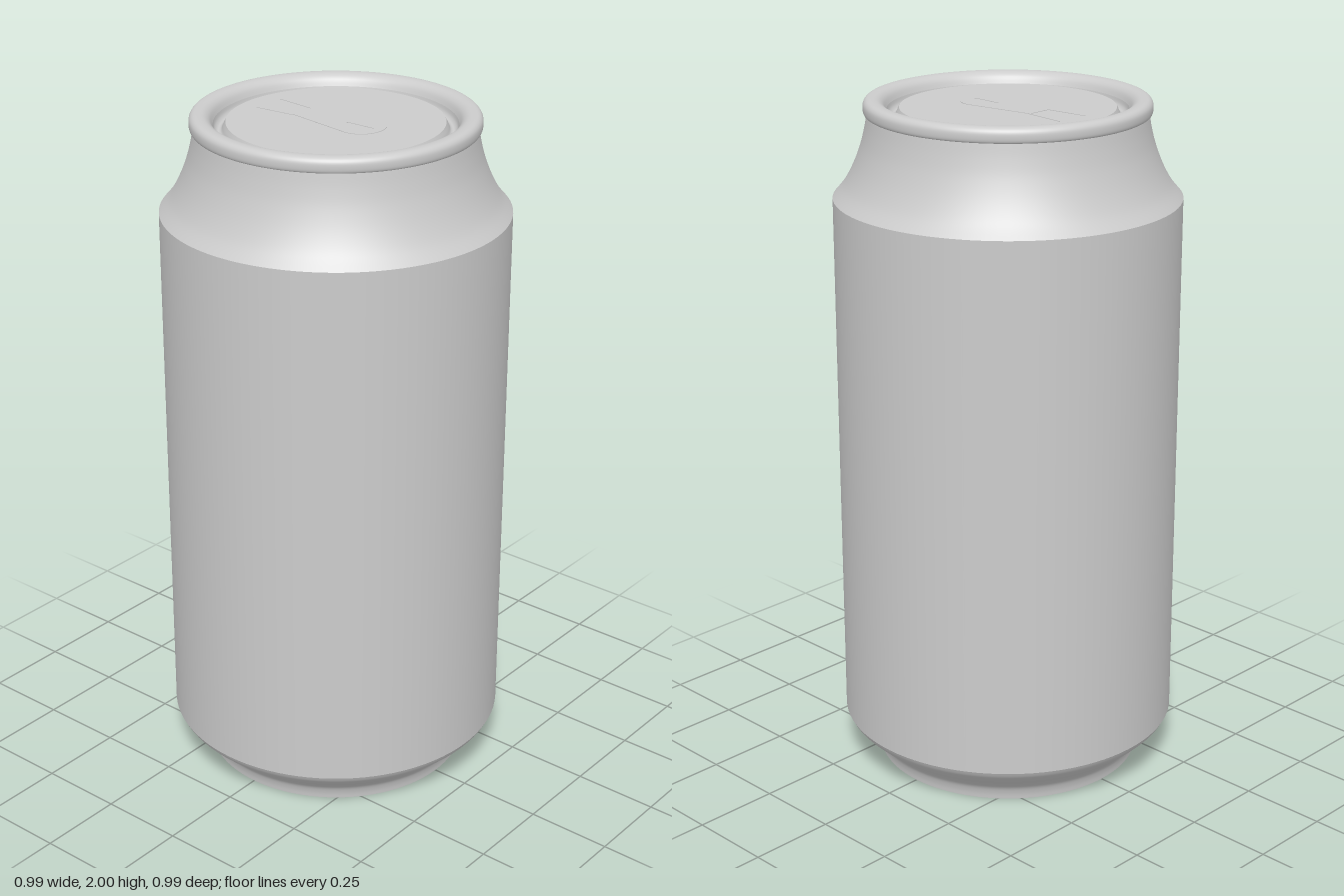
import * as THREE from 'three';

const material = new THREE.MeshStandardMaterial({ color: 0xcccccc, side: THREE.DoubleSide });
const PANEL_Y = 1.974;

// Turns a profile [radius, height] around the y axis; smooth profiles go through a spline
function turned(name, profile, smooth = 0) {
  let points = profile.map(([r, y]) => new THREE.Vector2(r, y));
  if (smooth) points = new THREE.SplineCurve(points).getPoints(smooth);
  const mesh = new THREE.Mesh(new THREE.LatheGeometry(points, 96), material);
  mesh.name = name;
  return mesh;
}

// Flat plate lying on the lid panel, drawn in x and z
function plate(name, shape, height) {
  const geometry = new THREE.ExtrudeGeometry(shape, { depth: height, bevelEnabled: false, curveSegments: 20 });
  geometry.rotateX(-Math.PI / 2);
  const mesh = new THREE.Mesh(geometry, material);
  mesh.name = name;
  mesh.position.y = PANEL_Y;
  return mesh;
}

export function createModel() {
  const can = new THREE.Group();
  can.name = 'drinkCan';

  // Open base, straight wall and tapered neck
  can.add(turned('base', [
    [0.39, 0], [0.393, 0.02], [0.402, 0.043], [0.425, 0.067], [0.455, 0.093], [0.483, 0.12], [0.495, 0.14],
  ], 24));
  can.add(turned('body', [[0.495, 0.14], [0.495, 1.72]]));
  can.add(turned('neck', [
    [0.495, 1.72], [0.464, 1.758], [0.437, 1.808], [0.415, 1.865], [0.402, 1.915], [0.394, 1.96],
  ], 24));

  // Rolled rim, running down into the lid's groove
  can.add(turned('rim', [
    [0.392, 1.957], [0.401, 1.958], [0.405, 1.968], [0.404, 1.986], [0.395, 1.997], [0.38, 2],
    [0.362, 1.997], [0.348, 1.986], [0.339, 1.968],
  ], 32));
  can.add(turned('groove', [
    [0.339, 1.968], [0.335, 1.955], [0.326, 1.947], [0.316, 1.95], [0.31, 1.962], [0.304, PANEL_Y],
  ], 20));
  can.add(turned('lidPanel', [[0.304, PANEL_Y], [0, PANEL_Y]]));

  // Nearly flush pull tab: tapered opening end, rounded finger end with a slot
  const tab = new THREE.Shape();
  tab.moveTo(-0.12, -0.037);
  tab.lineTo(0.09, -0.07);
  tab.bezierCurveTo(0.18, -0.07, 0.18, 0.07, 0.09, 0.07);
  tab.lineTo(-0.12, 0.037);
  tab.closePath();
  const slot = new THREE.Path();
  slot.moveTo(0.04, -0.004);
  slot.lineTo(0.04, 0.004);
  slot.lineTo(0.13, 0.006);
  slot.lineTo(0.13, -0.006);
  slot.closePath();
  tab.holes.push(slot);
  can.add(plate('pullTab', tab, 0.0015));

  // Faint scored lines of the mouth
  for (const side of [-1, 1]) {
    const score = new THREE.Shape([
      new THREE.Vector2(-0.245, side * 0.052), new THREE.Vector2(-0.245, side * 0.049),
      new THREE.Vector2(-0.12, side * 0.037), new THREE.Vector2(-0.12, side * 0.04),
    ]);
    can.add(plate(side > 0 ? 'scoreBack' : 'scoreFront', score, 0.0015));
  }

  return can;
}
